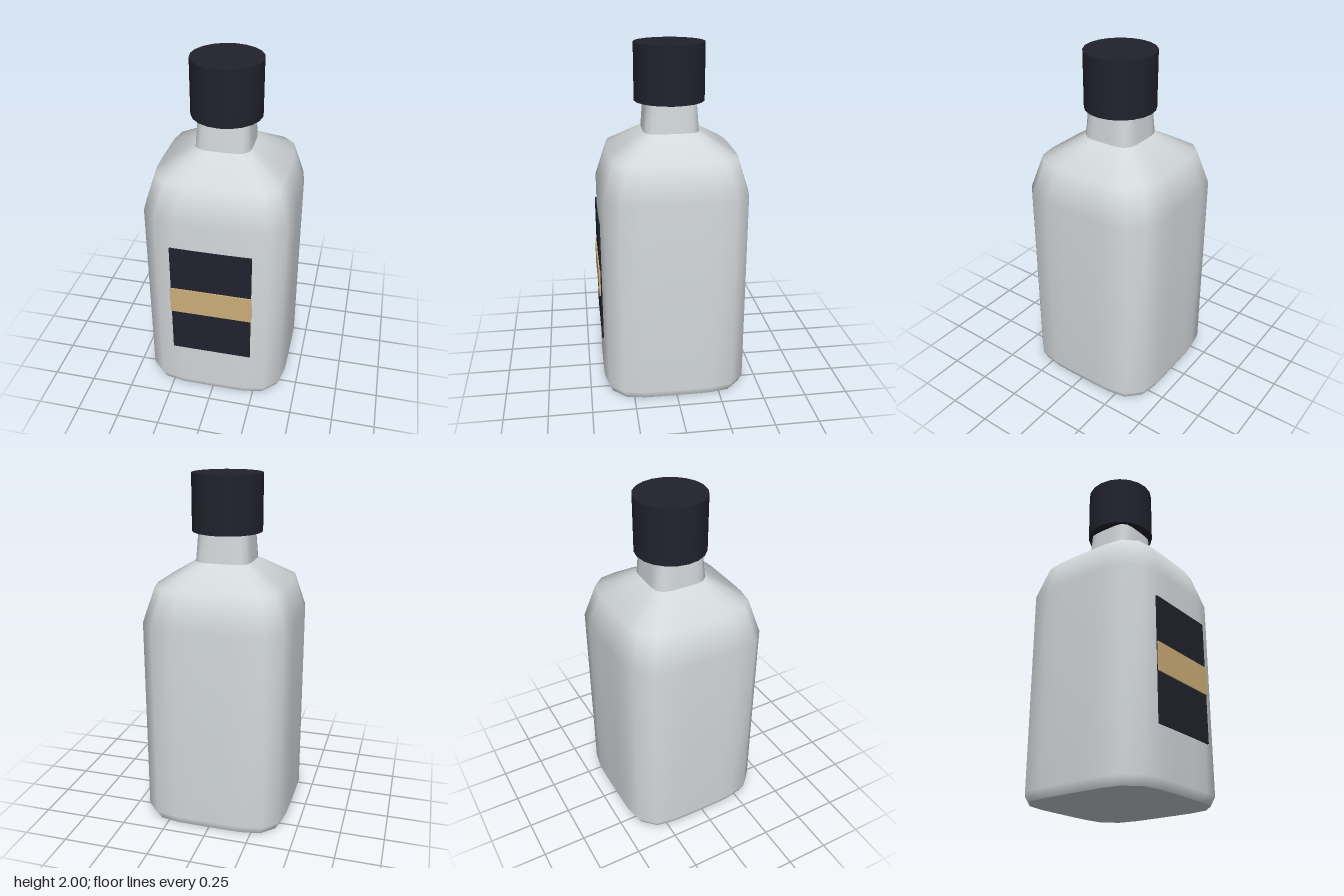
import * as THREE from 'three';

const SIDES = 28;
const POWER = 5;

// Point on a rounded-square ring of half-width r
function ringPoint(i, r, y) {
  const a = (i / SIDES) * Math.PI * 2;
  const c = Math.cos(a), s = Math.sin(a);
  const k = r / Math.pow(Math.abs(c) ** POWER + Math.abs(s) ** POWER, 1 / POWER);
  return [k * c, y, k * s];
}

// Smooth skin through rings given as [half-width, height], bottom to top
function loft(rings) {
  const pos = [], index = [];
  for (const [r, y] of rings)
    for (let i = 0; i < SIDES; i++) pos.push(...ringPoint(i, r, y));
  for (let j = 0; j < rings.length - 1; j++) {
    for (let i = 0; i < SIDES; i++) {
      const n = (i + 1) % SIDES;
      const a = j * SIDES + i, b = j * SIDES + n;
      const c = a + SIDES, d = b + SIDES;
      index.push(a, c, b, b, c, d);
    }
  }
  const geo = new THREE.BufferGeometry();
  geo.setAttribute('position', new THREE.Float32BufferAttribute(pos, 3));
  geo.setIndex(index);
  geo.computeVertexNormals();
  return geo;
}

// Flat rounded-square disc facing down
function baseDisc(r) {
  const pts = [];
  for (let i = 0; i < SIDES; i++) {
    const [x, , z] = ringPoint(i, r, 0);
    pts.push(new THREE.Vector2(x, z));
  }
  return new THREE.ShapeGeometry(new THREE.Shape(pts)).rotateX(Math.PI / 2);
}

export function createModel() {
  const glass = new THREE.MeshStandardMaterial({ name: 'pale grey glass', color: 0xd3d8db });
  const dark = new THREE.MeshStandardMaterial({ name: 'dark navy', color: 0x22222e });
  const gold = new THREE.MeshStandardMaterial({ name: 'tan gold', color: 0xcdae7a });

  const model = new THREE.Group();
  model.name = 'bottle';
  const add = (name, geo, mat, x, y, z) => {
    const mesh = new THREE.Mesh(geo, mat);
    mesh.name = name;
    mesh.position.set(x, y, z);
    model.add(mesh);
  };
  const Z = -0.007; // bottle axis, set back by the label thickness

  // Bottle: base, body with shoulders, then the neck with a crisp joint
  add('base', baseDisc(0.4), glass, 0, 0, Z);
  add('body', loft([[0.4, 0], [0.4227, 0.05], [0.4227, 1.2], [0.36, 1.4], [0.158, 1.52]]), glass, 0, 0, Z);
  add('neck', loft([[0.158, 1.52], [0.144, 1.7]]), glass, 0, 0, Z);

  // Cap
  add('cap', new THREE.CylinderGeometry(0.2, 0.2, 0.32, 20), dark, 0, 1.84, Z);

  // Label and its band on the front
  add('label', new THREE.BoxGeometry(0.465, 0.72, 0.0095), dark, 0, 0.68, 0.4175);
  add('labelBand', new THREE.BoxGeometry(0.474, 0.165, 0.0095), gold, 0, 0.683, 0.4247);

  return model;
}
